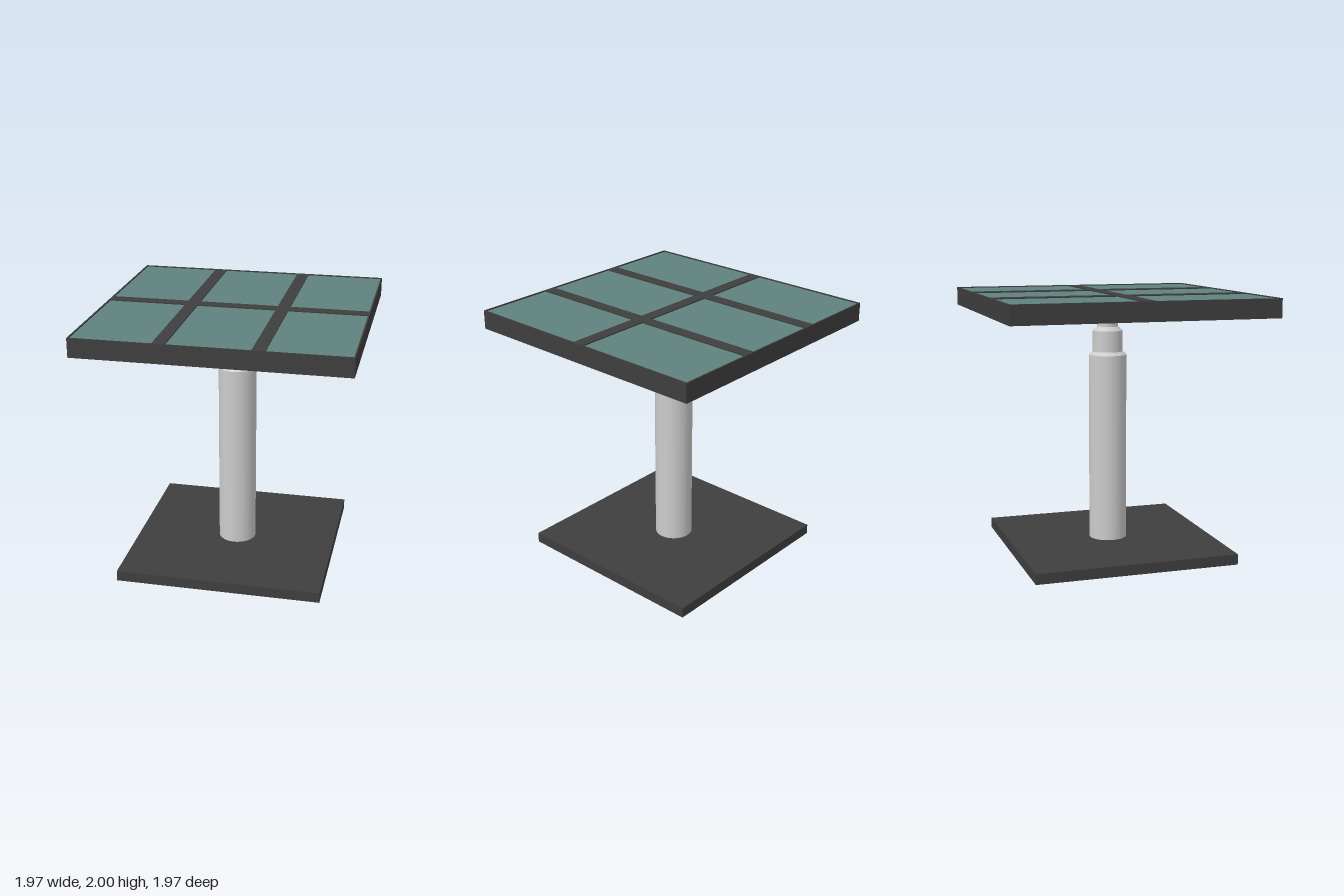
import * as THREE from 'three';

const dark = new THREE.MeshStandardMaterial({ color: 0x3e3e3e });
const glass = new THREE.MeshStandardMaterial({ color: 0x5f827d });
const metal = new THREE.MeshStandardMaterial({ color: 0xcccccc });

export function createModel() {
  const model = new THREE.Group();
  model.name = 'pedestalTable';

  const add = (parent, name, geometry, material, x, y, z) => {
    const mesh = new THREE.Mesh(geometry, material);
    mesh.name = name;
    mesh.position.set(x, y, z);
    parent.add(mesh);
  };

  // Floor plate
  add(model, 'basePlate', new THREE.BoxGeometry(1.556, 0.08, 1.556), dark, 0, 0.04, 0);

  // Stepped column: [bottom y, top y, bottom radius, top radius]
  const column = new THREE.Group();
  column.name = 'column';
  model.add(column);
  [
    ['lowerTube', 0.08, 1.525, 0.145, 0.145],
    ['lowerCollar', 1.525, 1.55, 0.145, 0.115],
    ['middleTube', 1.55, 1.71, 0.115, 0.115],
    ['upperCollar', 1.71, 1.742, 0.115, 0.08],
    ['upperTube', 1.742, 1.88, 0.08, 0.08],
  ].forEach(([name, y0, y1, r0, r1]) =>
    add(column, name, new THREE.CylinderGeometry(r1, r0, y1 - y0, 32, 1, true), metal, 0, (y0 + y1) / 2, 0));

  // Table top frame: one slab with a 3 x 2 grid of openings
  const half = 0.984, rim = 0.01, barX = 0.342, barHalf = 0.046;
  const yBottom = 1.858, height = 0.142;
  const columns = [
    [-half + rim, -barX - barHalf],
    [-barX + barHalf, barX - barHalf],
    [barX + barHalf, half - rim],
  ];
  const rows = [[-half + rim, -barHalf], [barHalf, half - rim]];

  const top = new THREE.Group();
  top.name = 'tableTop';
  model.add(top);
  const rectangle = (path, x0, x1, y0, y1) =>
    path.moveTo(x0, y0).lineTo(x1, y0).lineTo(x1, y1).lineTo(x0, y1).lineTo(x0, y0);
  const frame = rectangle(new THREE.Shape(), -half, half, -half, half);

  // Panels sit just inside the faces of the frame
  for (const [x0, x1] of columns) {
    for (const [z0, z1] of rows) {
      frame.holes.push(rectangle(new THREE.Path(), x0, x1, z0, z1));
      add(top, 'panel', new THREE.BoxGeometry(x1 - x0, height - 0.016, z1 - z0), glass,
        (x0 + x1) / 2, yBottom + height / 2, (z0 + z1) / 2);
    }
  }
  const frameGeometry = new THREE.ExtrudeGeometry(frame, { depth: height, bevelEnabled: false });
  frameGeometry.rotateX(-Math.PI / 2);
  add(top, 'frame', frameGeometry, dark, 0, yBottom, 0);

  return model;
}
